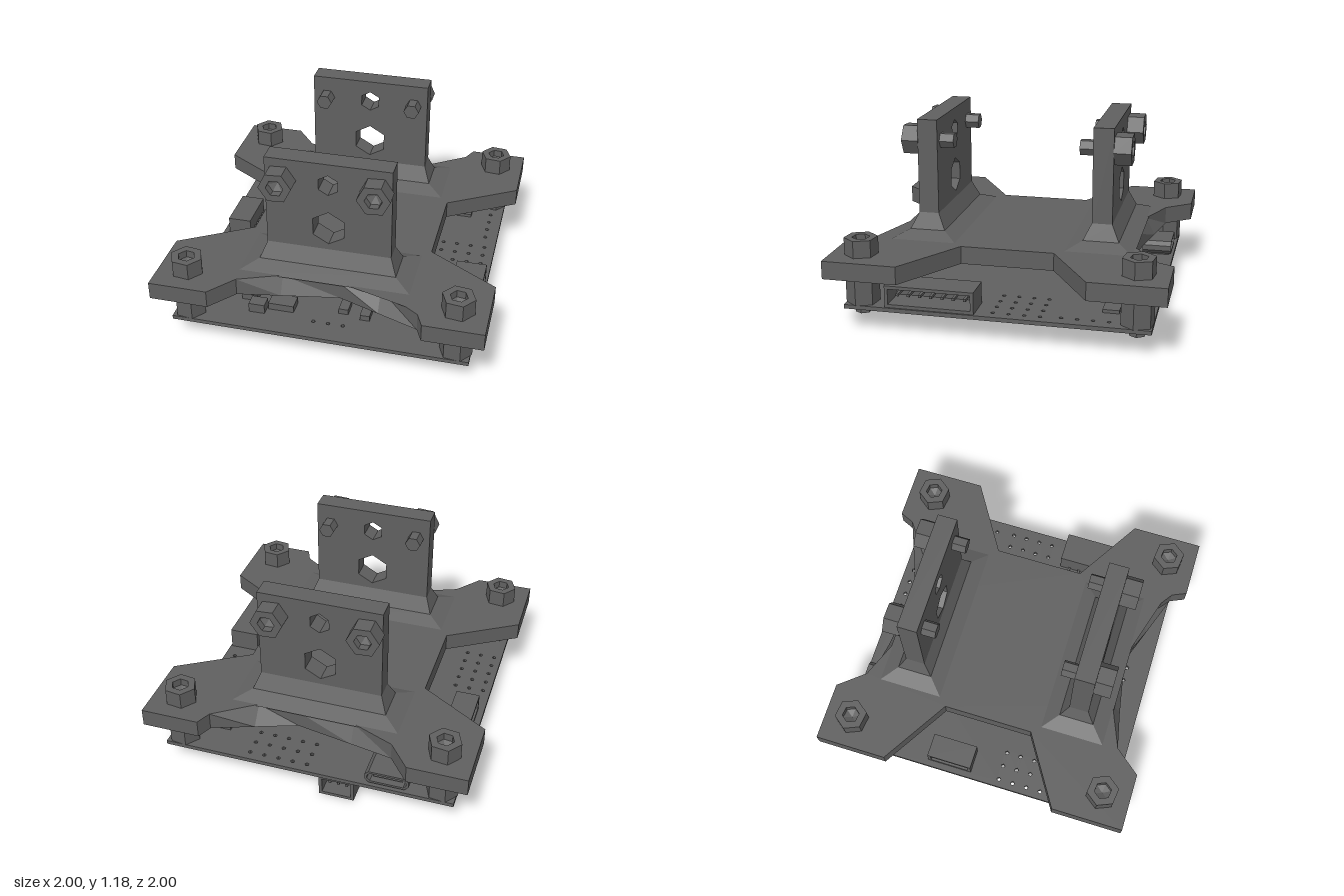
import * as THREE from 'three';

const mat = new THREE.MeshStandardMaterial({ color: 0x606060, flatShading: true });

function add(parent, name, geo, x = 0, y = 0, z = 0) {
  const m = new THREE.Mesh(geo, mat);
  m.name = name;
  m.position.set(x, y, z);
  parent.add(m);
  return m;
}

// Box given by its limits on each axis
function block(parent, name, x0, x1, y0, y1, z0, z1) {
  return add(parent, name, new THREE.BoxGeometry(x1 - x0, y1 - y0, z1 - z0),
    (x0 + x1) / 2, (y0 + y1) / 2, (z0 + z1) / 2);
}

const polygon = (pts) => new THREE.Shape(pts.map(([x, y]) => new THREE.Vector2(x, y)));

// Regular polygon hole
function hole(x, y, r, sides, turn = 0) {
  const pts = [];
  for (let i = 0; i < sides; i++) {
    const a = turn - (i / sides) * Math.PI * 2;
    pts.push(new THREE.Vector2(x + r * Math.cos(a), y + r * Math.sin(a)));
  }
  return new THREE.Path(pts);
}

// Flat plate from a shape drawn in x and -z
function slab(shape, y0, y1) {
  const g = new THREE.ExtrudeGeometry(shape, { depth: y1 - y0, bevelEnabled: false });
  return g.rotateX(-Math.PI / 2).translate(0, y0, 0);
}

// Tapered block: bottom and top half sizes
function frustum(bx, bz, tx, tz, h) {
  const g = new THREE.BoxGeometry(2, h, 2);
  const p = g.attributes.position;
  for (let i = 0; i < p.count; i++) {
    const top = p.getY(i) > 0;
    p.setX(i, p.getX(i) * (top ? tx : bx));
    p.setZ(i, p.getZ(i) * (top ? tz : bz));
  }
  return g;
}

// Six-sided profile turned about y
function hex(points, turn) {
  const g = new THREE.LatheGeometry(points.map(([r, y]) => new THREE.Vector2(r, y)), 6);
  return g.rotateY(turn);
}

// Bolt head with a conical socket, base at y = 0
const headGeo = (turn) => hex([[0, 0], [0.1, 0], [0.1, 0.105], [0.053, 0.105], [0.053, 0.06], [0, 0.035]], turn);
const rodGeo = (r, h, turn) => hex([[0, 0], [r, 0], [r, h], [0, h]], turn);

function basePlate() {
  // Front half of the outline, mirrored to the back
  const front = [[1, 0.55], [1, 1], [0.64, 1], [0.6, 0.91], [0.35, 0.82], [0.1, 0.73],
    [-0.25, 0.793], [-0.51, 0.84], [-0.64, 1], [-1, 1], [-1, 0.55], [-0.57, 0.285]];
  const back = front.map(([x, z]) => [x, -z]).reverse();
  const g = slab(polygon([[0.57, -0.285], ...back.reverse(), ...front.reverse(), [0.57, 0.285]]), 0.35, 0.46);
  // The upper rim of each scooped edge is cut back
  const p = g.attributes.position;
  for (let i = 0; i < p.count; i++) {
    const x = p.getX(i), z = p.getZ(i);
    if (p.getY(i) > 0.45 && Math.abs(z) > 0.7 && (Math.abs(x - 0.35) < 0.01 || Math.abs(x + 0.25) < 0.01))
      p.setZ(i, Math.sign(z) * 0.735);
  }
  return g;
}

function bracket(side) {
  const g = new THREE.Group();
  g.name = side > 0 ? 'frontBracket' : 'backBracket';
  // Upright with two hexagonal holes
  const s = polygon([[-0.38, 0.59], [0.38, 0.59], [0.38, 1.185], [-0.38, 1.185]]);
  s.holes.push(hole(0, 0.75, 0.11, 6, Math.PI / 6), hole(0, 1.045, 0.066, 6, Math.PI / 6));
  add(g, 'upright', new THREE.ExtrudeGeometry(s, { depth: 0.124, bevelEnabled: false }), 0, 0, -0.062);
  // Flared foot in two steps
  add(g, 'footUpper', frustum(0.42, 0.11, 0.38, 0.062, 0.1), 0, 0.55, 0);
  add(g, 'footLower', frustum(0.53, 0.21, 0.42, 0.11, 0.045), 0, 0.4785, 0);
  // Bolts through the upright, heads outside
  for (const x of [-0.29, 0.29]) {
    const head = add(g, 'bracketBoltHead', headGeo(Math.PI / 2 + 0.06), x, 1.045, side * 0.06);
    head.rotation.x = side * Math.PI / 2;
    const tip = add(g, 'bracketBoltTip', rodGeo(0.05, 0.09, Math.PI / 2), x, 1.045, -side * 0.06);
    tip.rotation.x = -side * Math.PI / 2;
  }
  g.position.z = side * 0.54;
  return g;
}

function circuitBoard() {
  const g = new THREE.Group();
  g.name = 'circuitBoard';
  const s = polygon([[-0.91, -0.91], [0.91, -0.91], [0.91, 0.91], [-0.91, 0.91]]);
  // Pin hole arrays: x start, z start, columns, rows
  const arrays = [[0.565, -0.26, 4, 4], [0.83, -0.66, 1, 4], [-0.86, 0.16, 3, 5], [0.01, -0.85, 5, 3], [-0.06, 0.76, 3, 1]];
  for (const [x, z, cols, rows] of arrays)
    for (let i = 0; i < cols; i++)
      for (let j = 0; j < rows; j++)
        s.holes.push(hole(x + i * 0.092, -(z + j * 0.093), 0.013, 5));
  add(g, 'board', slab(s, 0.14, 0.165));

  // Chips on top: x, z, half width, half depth, height
  const top = [[-0.28, 0.66, 0.08, 0.05, 0.045], [-0.42, 0.72, 0.05, 0.04, 0.06], [-0.5, 0.6, 0.05, 0.05, 0.04],
    [0.1, 0.6, 0.03, 0.05, 0.035], [0.24, 0.64, 0.03, 0.04, 0.035], [0.1, -0.41, 0.03, 0.03, 0.035],
    [0.24, -0.5, 0.03, 0.03, 0.035], [-0.2, 0.1, 0.14, 0.14, 0.015], [0.635, -0.65, 0.065, 0.05, 0.02]];
  for (const [x, z, w, d, h] of top) block(g, 'topChip', x - w, x + w, 0.165, 0.165 + h, z - d, z + d);

  // Chips underneath: x, z, half width, half depth
  const under = [[0.65, 0.39, 0.03, 0.06], [0.62, 0.24, 0.03, 0.05], [0.5, -0.45, 0.05, 0.03], [0.25, -0.51, 0.05, 0.03],
    [0.36, -0.48, 0.03, 0.03], [-0.15, -0.13, 0.03, 0.04], [-0.33, -0.36, 0.05, 0.04], [-0.47, 0.31, 0.05, 0.03],
    [-0.48, 0.56, 0.06, 0.03], [0.05, 0.6, 0.03, 0.04], [0.19, 0.62, 0.03, 0.04], [-0.15, 0.57, 0.03, 0.04],
    [-0.05, 0.48, 0.03, 0.03], [-0.35, 0.12, 0.03, 0.04], [0.45, -0.1, 0.03, 0.04], [-0.55, -0.1, 0.04, 0.03],
    [-0.5, -0.45, 0.03, 0.04]];
  for (const [x, z, w, d] of under) block(g, 'underChip', x - w, x + w, 0.112, 0.14, z - d, z + d);
  for (let i = 0; i < 8; i++)
    for (const z of [0.09, 0.27])
      block(g, 'chipLead', -0.19 + i * 0.05, -0.165 + i * 0.05, 0.115, 0.14, z - 0.025, z + 0.025);
  return g;
}

// Open socket with its mouth towards +z, a row of pins inside and legs behind
function socket(name, w, h, d, pins, leg) {
  const g = new THREE.Group();
  g.name = name;
  const wall = 0.02;
  block(g, 'floor', -w / 2, w / 2, 0, wall, -d / 2, d / 2);
  block(g, 'roof', -w / 2, w / 2, h - wall, h, -d / 2, d / 2);
  block(g, 'rear', -w / 2, w / 2, wall, h - wall, -d / 2, -d / 2 + wall);
  for (const s of [-1, 1]) {
    const x = s * (w - wall) / 2;
    block(g, 'wall', x - wall / 2, x + wall / 2, wall, h - wall, -d / 2 + wall, d / 2);
  }
  for (let i = 0; i < pins; i++) {
    const x = ((i + 0.5) / pins - 0.5) * (w - 0.06);
    block(g, 'pin', x - 0.008, x + 0.008, h / 2 - 0.008, h / 2 + 0.008, -d / 2 + wall, d / 2 - 0.04);
    block(g, 'pinLeg', x - 0.008, x + 0.008, 0, 0.02, -d / 2 - leg, -d / 2);
  }
  return g;
}

// Port with a chamfered metal shell and a tongue, mouth towards -z
function backPort() {
  const g = new THREE.Group();
  g.name = 'backPort';
  const ring = (w, h, c) => [[-w + c, -h], [w - c, -h], [w, -h + c], [w, h - c], [w - c, h], [-w + c, h], [-w, h - c], [-w, -h + c]];
  const s = polygon(ring(0.135, 0.042, 0.025));
  s.holes.push(polygon(ring(0.12, 0.028, 0.018)));
  add(g, 'shell', new THREE.ExtrudeGeometry(s, { depth: 0.19, bevelEnabled: false }), 0, 0, -0.095);
  block(g, 'rear', -0.12, 0.12, -0.028, 0.028, 0.075, 0.095);
  block(g, 'tongue', -0.09, 0.09, -0.009, 0.009, -0.07, 0.075);
  block(g, 'mount', -0.1, 0.1, -0.055, -0.04, -0.08, 0.09);
  g.position.set(-0.5, 0.218, -0.8);
  return g;
}

export function createModel() {
  const model = new THREE.Group();
  model.name = 'boardMount';
  add(model, 'basePlate', basePlate());
  model.add(bracket(1), bracket(-1), circuitBoard(), backPort());

  // Corner bolts, spacers and tips
  for (const x of [-0.82, 0.82])
    for (const z of [-0.82, 0.82]) {
      add(model, 'cornerBoltHead', headGeo(Math.PI / 2 - 0.13), x, 0.46, z);
      add(model, 'cornerSpacer', rodGeo(0.1, 0.185, Math.PI / 2 - 0.13), x, 0.165, z);
      add(model, 'cornerBoltTip', rodGeo(0.05, 0.04, Math.PI / 2), x, 0.1, z);
    }

  // Connectors along the board edges
  const large = socket('leftConnector', 0.54, 0.135, 0.19, 7, 0.05);
  large.position.set(0.805, 0.165, 0.39);
  large.rotation.y = Math.PI / 2;
  const small = socket('rightConnector', 0.29, 0.11, 0.15, 6, 0.015);
  small.position.set(-0.795, 0.165, -0.175);
  small.rotation.y = -Math.PI / 2;
  // Hangs upside down below the board
  const lower = socket('lowerConnector', 0.22, 0.14, 0.19, 3, 0.03);
  lower.position.set(-0.19, 0.14, -0.805);
  lower.rotation.x = Math.PI;
  model.add(large, small, lower);
  return model;
}
